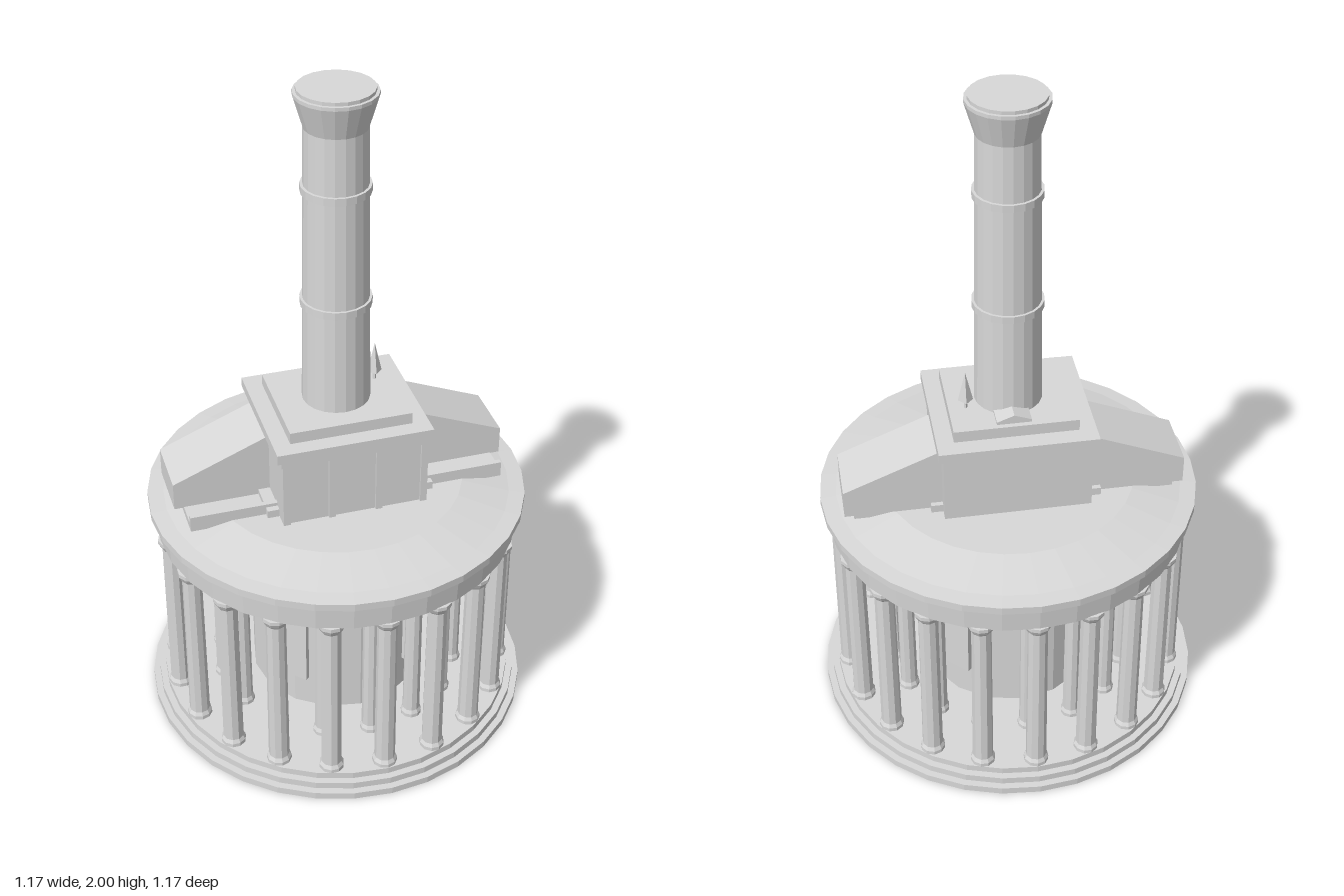
import * as THREE from 'three';

const stone = new THREE.MeshStandardMaterial({ color: 0xd8d8d8, flatShading: true });
stone.name = 'pale grey stone';

export function createModel() {
  const root = new THREE.Group();
  root.name = 'roundTempleWithTower';

  function add(name, geometry, x = 0, y = 0, z = 0, parent = root) {
    const mesh = new THREE.Mesh(geometry, stone);
    mesh.name = name;
    mesh.position.set(x, y, z);
    parent.add(mesh);
    return mesh;
  }
  // Box given by its extents on each axis
  function box(name, x0, x1, y0, y1, z0, z1, parent = root) {
    return add(name, new THREE.BoxGeometry(Math.abs(x1 - x0), y1 - y0, z1 - z0),
      (x0 + x1) / 2, (y0 + y1) / 2, (z0 + z1) / 2, parent);
  }
  // Turned part; the profile runs upwards on the outside
  function lathe(points, sides) {
    return new THREE.LatheGeometry(points.map(([r, y]) => new THREE.Vector2(r, y)), sides);
  }

  // Stepped round base
  add('steppedBase', lathe([[0, 0], [0.585, 0], [0.585, 0.022], [0.565, 0.022], [0.565, 0.044],
    [0.545, 0.044], [0.545, 0.065], [0, 0.065]], 32));

  // Two rings of columns
  function columnRing(name, count, radius, top, size) {
    const y0 = 0.065;
    const geometry = lathe([[0, y0], [0.037 * size, y0], [0.037 * size, y0 + 0.012], [0.031 * size, y0 + 0.024],
      [0.029 * size, top - 0.034], [0.034 * size, top - 0.026], [0.041 * size, top - 0.012],
      [0.041 * size, top], [0, top]], 10);
    const ring = new THREE.Group();
    ring.name = name;
    root.add(ring);
    for (let i = 0; i < count; i++) {
      const a = (i / count) * Math.PI * 2;
      const column = add('column', geometry, Math.sin(a) * radius, 0, Math.cos(a) * radius, ring);
      column.rotation.y = a;
    }
  }
  columnRing('outerColumns', 20, 0.507, 0.632, 1);
  columnRing('innerColumns', 16, 0.365, 0.572, 0.85);

  // Inner chamber with framed panels on its diagonals
  add('chamberWall', new THREE.CylinderGeometry(0.265, 0.265, 0.655, 16), 0, 0.3925, 0);
  for (let i = 0; i < 4; i++) {
    const pivot = new THREE.Group();
    pivot.name = 'chamberPanel';
    pivot.rotation.y = Math.PI / 4 + i * Math.PI / 2;
    root.add(pivot);
    box('panel', -0.045, 0.045, 0.17, 0.48, 0.255, 0.272, pivot);
  }

  // Beams above the columns
  add('innerBeam', lathe([[0.335, 0.57], [0.39, 0.57], [0.39, 0.72], [0.335, 0.72], [0.335, 0.57]], 32));
  add('outerBeam', lathe([[0.475, 0.63], [0.54, 0.63], [0.545, 0.715], [0.475, 0.715], [0.475, 0.63]], 32));

  // Cornice and shallow roof
  add('roof', lathe([[0, 0.712], [0.562, 0.712], [0.562, 0.735], [0.515, 0.739], [0.375, 0.766], [0, 0.766]], 32));

  // Block under the tower
  box('towerBlock', -0.215, 0.215, 0.76, 0.985, -0.19, 0.195);
  box('blockPlinth', -0.25, 0.25, 0.755, 0.79, -0.155, 0.155);
  box('blockCornice', -0.23, 0.23, 0.985, 1.015, -0.21, 0.205);
  box('upperSlab', -0.18, 0.18, 1.015, 1.05, -0.157, 0.157);
  for (const x of [-0.205, -0.07, 0.07, 0.205]) {
    box('pilaster', x - 0.01, x + 0.01, 0.766, 0.985, 0.195, 0.203);
  }
  box('blockFrieze', -0.218, 0.218, 0.968, 0.985, 0.195, 0.203);

  // Sloping wings on railed ledges, mirrored left and right
  for (const s of [1, -1]) {
    const outline = new THREE.Shape([[0.2, 0.772], [0.5, 0.772], [0.5, 0.857], [0.2, 0.98]]
      .map(([x, y]) => new THREE.Vector2(s * x, y)));
    add(s > 0 ? 'leftWing' : 'rightWing',
      new THREE.ExtrudeGeometry(outline, { depth: 0.185, bevelEnabled: false }), 0, 0, -0.14);
    box('ledge', s * 0.21, s * 0.472, 0.752, 0.774, -0.13, 0.135);
    box('ledgeRail', s * 0.21, s * 0.472, 0.774, 0.8, 0.12, 0.135);
  }

  // Round tower with flared top and two bands
  add('tower', lathe([[0, 1.05], [0.099, 1.05], [0.088, 1.89], [0.115, 1.98], [0.115, 1.99],
    [0.106, 1.99], [0.106, 2], [0, 2]], 20));
  add('lowerBand', new THREE.CylinderGeometry(0.102, 0.102, 0.022, 20), 0, 1.37, 0);
  add('upperBand', new THREE.CylinderGeometry(0.098, 0.098, 0.022, 20), 0, 1.715, 0);

  // Small pointed finial on the slab
  add('finialPole', new THREE.CylinderGeometry(0.005, 0.005, 0.05, 4), 0.13, 1.07, -0.045);
  add('finialCone', new THREE.ConeGeometry(0.022, 0.095, 4), 0.13, 1.125, -0.045);

  // Little gabled hatch behind the tower
  const gable = new THREE.Shape([[-0.045, 1.05], [0.055, 1.05], [0.055, 1.058], [0.005, 1.077], [-0.045, 1.058]]
    .map(([x, y]) => new THREE.Vector2(x, y)));
  add('gabledHatch', new THREE.ExtrudeGeometry(gable, { depth: 0.06, bevelEnabled: false }), 0, 0, -0.142);

  return root;
}
